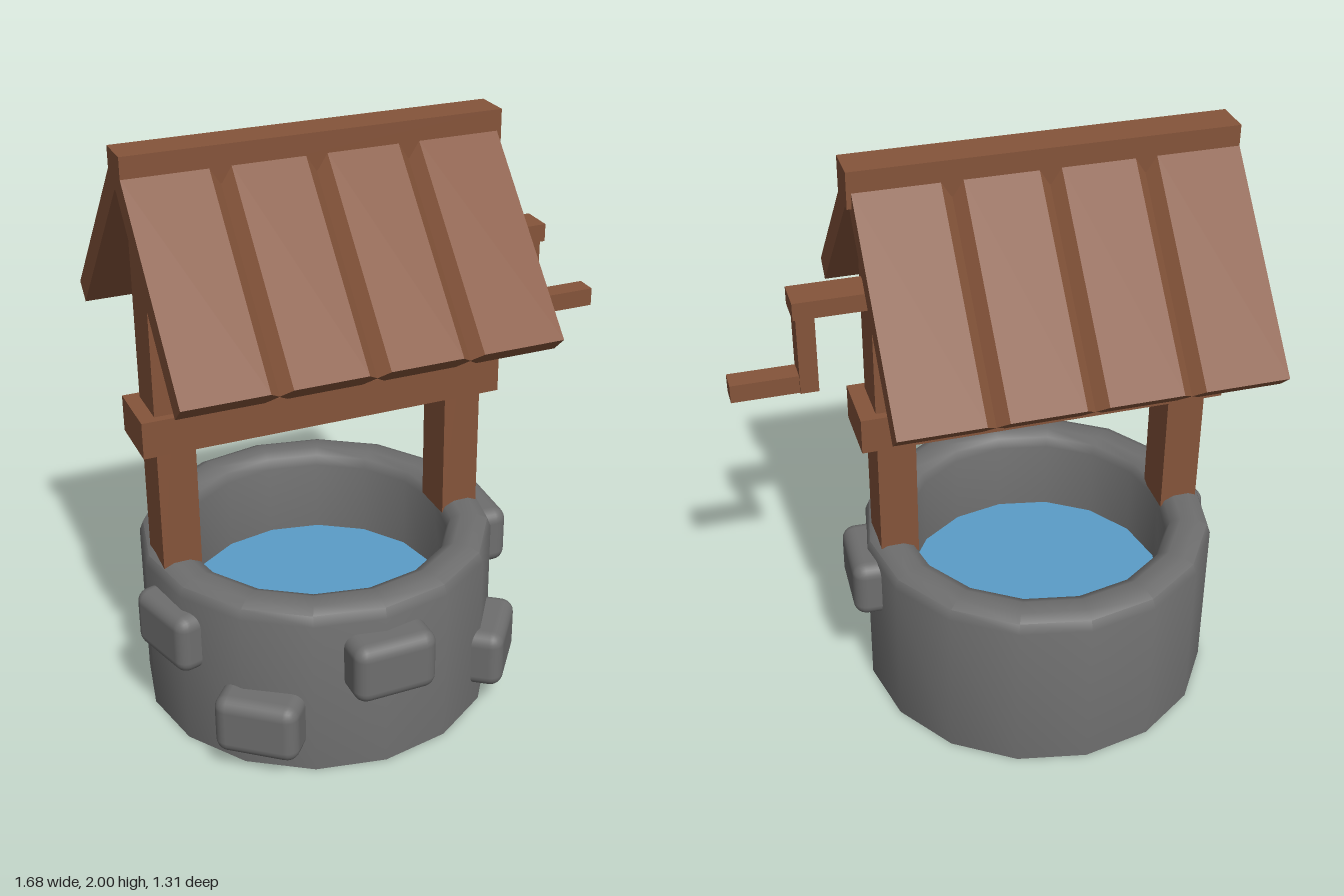
import * as THREE from 'three';
import { toCreasedNormals } from 'three/addons/utils/BufferGeometryUtils.js';
import { RoundedBoxGeometry } from 'three/addons/geometries/RoundedBoxGeometry.js';

const flat = (name, color) => {
  const m = new THREE.MeshStandardMaterial({ color });
  m.name = name;
  return m;
};

export function createModel() {
  const wood = flat('wood brown', 0x85543a);
  const stone = flat('stone grey', 0x6e6e6e);
  const blue = flat('water blue', 0x5b9dc8);
  const model = new THREE.Group();
  model.name = 'waterWell';

  const add = (parent, name, geometry, material) => {
    const mesh = new THREE.Mesh(geometry, material);
    mesh.name = name;
    parent.add(mesh);
    return mesh;
  };

  // Stone ring, water and protruding stones, around the well's own axis
  const base = new THREE.Group();
  base.name = 'base';
  base.position.set(-0.18, 0, -0.04);
  model.add(base);

  const profile = [
    [0, 0], [0.61, 0], [0.61, 0.56], [0.597, 0.594], [0.56, 0.61],
    [0.505, 0.61], [0.47, 0.594], [0.455, 0.56], [0.455, 0.2],
  ].map(([r, y]) => new THREE.Vector2(r, y));
  add(base, 'stoneRing', toCreasedNormals(new THREE.LatheGeometry(profile, 16), 0.8), stone);

  const water = add(base, 'water', new THREE.CircleGeometry(0.455, 16), blue);
  water.rotation.x = -Math.PI / 2;
  water.position.y = 0.3;

  // Each stone: degrees around from the front, height, distance of its outer face
  const stones = [
    [0.5, 0.41, 0.695], [-39, 0.19, 0.695], [53, 0.19, 0.69],
    [87.5, 0.46, 0.675], [-74, 0.408, 0.66],
  ];
  for (const [degrees, y, outer] of stones) {
    const a = THREE.MathUtils.degToRad(degrees);
    const r = outer - 0.08;
    const block = add(base, 'wallStone', new RoundedBoxGeometry(0.285, 0.21, 0.16, 3, 0.045), stone);
    block.position.set(r * Math.sin(a), y, r * Math.cos(a));
    block.rotation.y = a;
  }

  // Timber frame: boxes given by x range, y range and depth
  const zMid = -0.02;
  const timber = (name, x0, x1, y0, y1, depth) => {
    const box = add(model, name, new THREE.BoxGeometry(x1 - x0, y1 - y0, depth), wood);
    box.position.set((x0 + x1) / 2, (y0 + y1) / 2, zMid);
  };
  timber('rightPost', -0.755, -0.625, 0.57, 1.86, 0.162);
  timber('leftPost', 0.26, 0.39, 0.57, 1.86, 0.162);
  timber('crossBeam', -0.805, 0.445, 1.03, 1.155, 0.22);
  timber('ridgeBeam', -0.805, 0.445, 1.88, 2.0, 0.128);

  // Crank
  timber('crankShaft', 0.38, 0.63, 1.525, 1.585, 0.115);
  timber('crankArm', 0.56, 0.62, 1.25, 1.53, 0.088);
  timber('crankHandle', 0.6, 0.84, 1.25, 1.312, 0.074);

  // Roof slopes: four planks in section, with V grooves on both faces
  const half = 0.6175, thick = 0.077, bevel = 0.035, groove = 0.037;
  const seams = [-0.309, 0, 0.309];
  const section = new THREE.Shape();
  section.moveTo(-half, -thick);
  for (const s of seams) {
    section.lineTo(s - bevel, -thick);
    section.lineTo(s, -thick + groove);
    section.lineTo(s + bevel, -thick);
  }
  section.lineTo(half, -thick);
  section.lineTo(half, 0);
  for (const s of [...seams].reverse()) {
    section.lineTo(s + bevel, 0);
    section.lineTo(s, -groove);
    section.lineTo(s - bevel, 0);
  }
  section.lineTo(-half, 0);
  section.closePath();

  const slopes = [['frontRoof', 0, 0.725], ['backRoof', Math.PI, 0.755]];
  for (const [name, turn, length] of slopes) {
    const side = new THREE.Group();
    side.name = name;
    side.position.set(-0.1875, 0, zMid);
    side.rotation.y = turn;
    const geometry = new THREE.ExtrudeGeometry(section, { depth: length, bevelEnabled: false });
    const planks = add(side, name + 'Planks', geometry, wood);
    planks.position.set(0, 1.935, 0.06);
    planks.rotation.x = THREE.MathUtils.degToRad(47.4);
    model.add(side);
  }

  return model;
}
